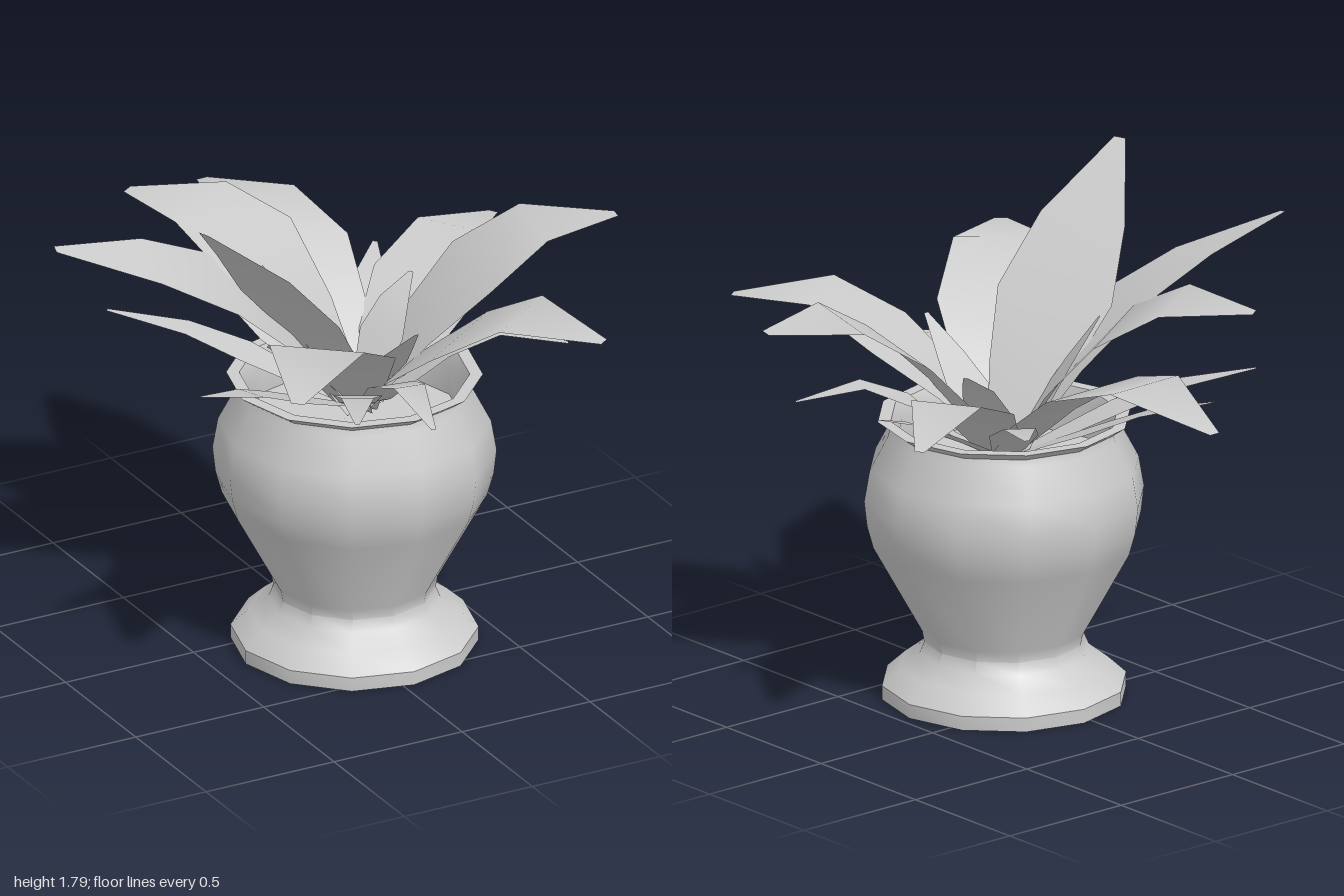
import * as THREE from 'three';
import { toCreasedNormals } from 'three/addons/utils/BufferGeometryUtils.js';

const grey = new THREE.MeshStandardMaterial({ color: 0xcccccc });
const leafGrey = new THREE.MeshStandardMaterial({ color: 0xcccccc, side: THREE.DoubleSide });

// Position along the leaf of each cross-section, and relative widths for the two leaf shapes.
const ROWS = [0, 0.22, 0.44, 0.68, 1];
const BROAD = [0.3, 0.7, 1, 0.74, 0.1];
const SLIM = [0.3, 0.7, 1, 0.66, 0.1];

// A flat blade from the root to the tip; heights gives y at each cross-section,
// tilt is the sideways slope of the blade.
function makeLeaf(name, root, tip, heights, width, widths, tilt = 0) {
  const along = new THREE.Vector2(tip[0] - root[0], tip[1] - root[1]);
  const side = new THREE.Vector2(-along.y, along.x).normalize();
  const geometry = new THREE.PlaneGeometry(1, 1, 1, ROWS.length - 1);
  const pos = geometry.attributes.position;
  for (let i = 0; i < pos.count; i++) {
    const row = Math.floor(i / 2);
    const offset = (i % 2 ? 0.5 : -0.5) * width * widths[row];
    pos.setXYZ(i,
      root[0] + along.x * ROWS[row] + side.x * offset,
      heights[row] + tilt * offset,
      root[1] + along.y * ROWS[row] + side.y * offset);
  }
  geometry.computeVertexNormals();
  const mesh = new THREE.Mesh(geometry, leafGrey);
  mesh.name = name;
  return mesh;
}

export function createModel() {
  const model = new THREE.Group();
  model.name = 'pottedPlant';

  // Twelve-sided urn: foot, waist, belly, flared rim, inner wall and soil
  const profile = [
    [0, 0], [0.425, 0], [0.425, 0.05], [0.36, 0.11], [0.295, 0.16], [0.278, 0.2], [0.285, 0.24],
    [0.455, 0.55], [0.477, 0.63], [0.487, 0.72], [0.468, 0.83], [0.405, 0.95], [0.398, 0.975],
    [0.44, 1.005], [0.395, 1.005], [0.37, 0.95], [0.37, 0.84], [0, 0.84],
  ].map(([r, y]) => new THREE.Vector2(r, y));
  const pot = new THREE.Mesh(toCreasedNormals(new THREE.LatheGeometry(profile, 12), 0.7), grey);
  pot.name = 'pot';
  pot.position.set(0.037, 0, 0.167);
  model.add(pot);

  const leaves = new THREE.Group();
  leaves.name = 'leaves';
  model.add(leaves);
  const root = [0.07, 0.13];

  // Large leaves: tip x, tip z, middle y, bend y, tip y, width, tilt, own root where off-centre
  const large = [
    [0.08, -1.0, 1.25, 1.335, 1.25, 0.42, 0, [0.11, 0.13]],
    [-0.42, -0.62, 1.38, 1.495, 1.48, 0.5, 0],
    [-0.98, -0.11, 1.38, 1.5, 1.59, 0.36, 0.2],
    [-0.68, 0.4, 1.35, 1.57, 1.79, 0.45, 0],
    [-0.62, 0.96, 1.28, 1.415, 1.365, 0.45, 0],
    [0.56, 0.99, 1.25, 1.385, 1.345, 0.45, 0, [-0.01, 0.18]],
    [0.97, 0.33, 1.33, 1.47, 1.465, 0.47, 0.04],
    [0.88, -0.38, 1.18, 1.275, 1.2, 0.34, 0],
  ];
  for (const [x, z, mid, bend, top, width, tilt, ownRoot = root] of large) {
    const heights = [0.85, 0.85 + (mid - 0.85) * 0.58, mid, bend, top];
    leaves.add(makeLeaf('largeLeaf', ownRoot, [x, z], heights, width, BROAD, tilt));
  }

  // Small outer leaves: tip x, tip z, middle y, bend y, tip y
  const small = [
    [-0.23, -0.63, 1.03, 1.12, 1.2], [-0.63, -0.38, 1.04, 1.12, 1.17],
    [0.45, -0.44, 1.05, 1.13, 1.16], [0.77, -0.03, 1.03, 1.12, 1.2],
    [0.69, 0.5, 1.09, 1.16, 1.11], [-0.75, 0.51, 1.04, 1.14, 1.235],
    [-0.31, 0.82, 1.06, 1.14, 1.16], [-0.05, 0.89, 1.09, 1.165, 1.11],
  ];
  for (const [x, z, mid, bend, top] of small) {
    leaves.add(makeLeaf('smallLeaf', root, [x, z], [0.86, 0.95, mid, bend, top], 0.17, SLIM));
  }

  // Young leaves in the middle: tip x, tip z, middle y, bend y, tip y
  const young = [
    [-0.2, -0.06, 1.08, 1.21, 1.37], [0.35, 0.0, 1.08, 1.18, 1.25], [0.08, 0.53, 1.07, 1.17, 1.29],
  ];
  for (const [x, z, mid, bend, top] of young) {
    leaves.add(makeLeaf('youngLeaf', root, [x, z], [0.86, 0.97, mid, bend, top], 0.18, SLIM));
  }
  return model;
}
